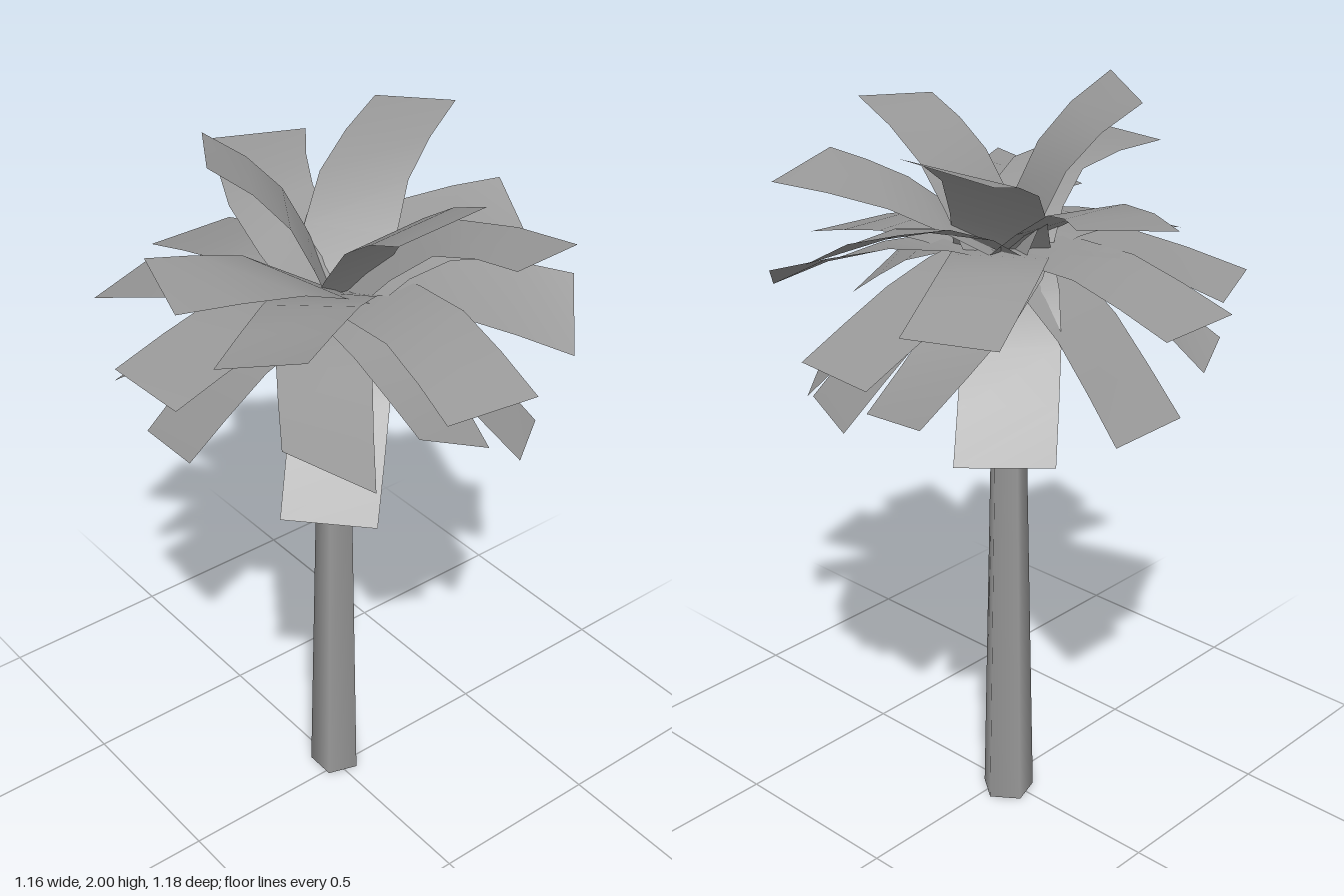
import * as THREE from 'three';

const material = new THREE.MeshStandardMaterial({ color: 0x999999, side: THREE.DoubleSide });
const HUB = new THREE.Vector3(0.0, 1.6, 0);

// Each frond: the two corners of its tip, x y z each
const UPPER = [
  [-0.33, 2.0, -0.06, -0.2, 1.975, -0.27],
  [0.37, 1.9, -0.32, 0.45, 1.94, -0.1],
  [-0.12, 1.91, 0.365, 0.12, 1.94, 0.385],
  [0.04, 1.78, -0.58, 0.24, 1.8, -0.445],
  [-0.48, 1.8, -0.11, -0.55, 1.78, 0.12],
  [0.15, 1.8, 0.465, 0.39, 1.77, 0.415],
  [0.53, 1.74, -0.01, 0.46, 1.62, 0.22],
];
const MIDDLE = [
  [-0.48, 1.63, 0.155, -0.375, 1.71, 0.37],
  [-0.16, 1.53, -0.594, 0.09, 1.53, -0.594],
  [-0.58, 1.54, -0.11, -0.57, 1.54, 0.13],
  [-0.435, 1.535, -0.435, -0.21, 1.53, -0.53],
  [0.42, 1.545, -0.38, 0.515, 1.545, -0.155],
  [-0.125, 1.54, 0.555, 0.12, 1.54, 0.59],
  [0.58, 1.42, -0.11, 0.56, 1.42, 0.135],
  [-0.45, 1.51, 0.37, -0.275, 1.385, 0.49],
  [-0.15, 1.48, 0.49, 0.06, 1.375, 0.5],
  [0.512, 1.6, 0.295, 0.37, 1.49, 0.455],
];
const LOWER = [
  [0.24, 1.2, -0.395, 0.39, 1.19, -0.2],
  [0.525, 1.34, -0.228, 0.48, 1.3, 0.0],
  [0.21, 1.25, 0.455, 0.39, 1.225, 0.32],
  [0.485, 1.225, 0.08, 0.38, 1.225, 0.31],
  [-0.38, 1.225, 0.26, -0.22, 1.225, 0.43],
  [-0.49, 1.32, 0.05, -0.465, 1.285, -0.175],
  [-0.44, 1.33, -0.36, -0.255, 1.31, -0.45],
  [-0.16, 1.22, -0.455, 0.09, 1.22, -0.455],
];

// Horizontal direction at right angles to v
const across = (v) => new THREE.Vector3(v.z, 0, -v.x).normalize();

// A broad strip of even width, swept from hub to tip and meeting its tip edge squarely
function frondGeometry(corners, arch, rootGap) {
  const a = new THREE.Vector3(...corners.slice(0, 3));
  const b = new THREE.Vector3(...corners.slice(3));
  const tip = a.clone().add(b).multiplyScalar(0.5);
  const tipSide = b.clone().sub(a).multiplyScalar(0.5);
  const reach = Math.hypot(tip.x - HUB.x, tip.z - HUB.z);

  const tipDirection = across(tipSide);
  if (tipDirection.dot(tip) < 0) tipDirection.negate();
  const bend = tip.clone().addScaledVector(tipDirection, -reach * 0.58);
  bend.y = (HUB.y + tip.y) / 2 + arch;

  const out = bend.clone().sub(HUB).setY(0).normalize();
  const root = HUB.clone().addScaledVector(out, rootGap);
  const rootSide = across(out).multiplyScalar(0.122);
  if (tipSide.dot(rootSide) < 0) tipSide.negate();
  const curve = new THREE.CubicBezierCurve3(root, bend, bend, tip);

  const geometry = new THREE.PlaneGeometry(1, 1, 1, 4);
  const position = geometry.attributes.position;
  for (let i = 0; i < position.count; i++) {
    const t = position.getY(i) + 0.5;
    const side = rootSide.clone().lerp(tipSide, t).multiplyScalar(-2 * position.getX(i));
    const p = curve.getPointAt(t).add(side);
    position.setXYZ(i, p.x, p.y, p.z);
  }
  geometry.computeVertexNormals();
  return geometry;
}

function addFronds(group, name, list, arch, rootGap) {
  const tier = new THREE.Group();
  tier.name = name;
  for (const corners of list) {
    const frond = new THREE.Mesh(frondGeometry(corners, arch, rootGap), material);
    frond.name = 'frond';
    tier.add(frond);
  }
  group.add(tier);
}

export function createModel() {
  const palm = new THREE.Group();
  palm.name = 'palmTree';

  // Tapering five-sided trunk, open at both ends
  const trunkGeometry = new THREE.CylinderGeometry(0.039, 0.073, 1.58, 5, 1, true, Math.PI / 2);
  const trunk = new THREE.Mesh(trunkGeometry, material);
  trunk.name = 'trunk';
  trunk.position.set(0.014, 0.79, -0.03);
  palm.add(trunk);

  // Three tiers of fronds, drooping more towards the bottom
  addFronds(palm, 'upperFronds', UPPER, 0.075, 0.02);
  addFronds(palm, 'middleFronds', MIDDLE, 0.07, 0);
  addFronds(palm, 'lowerFronds', LOWER, 0.11, 0);
  return palm;
}
